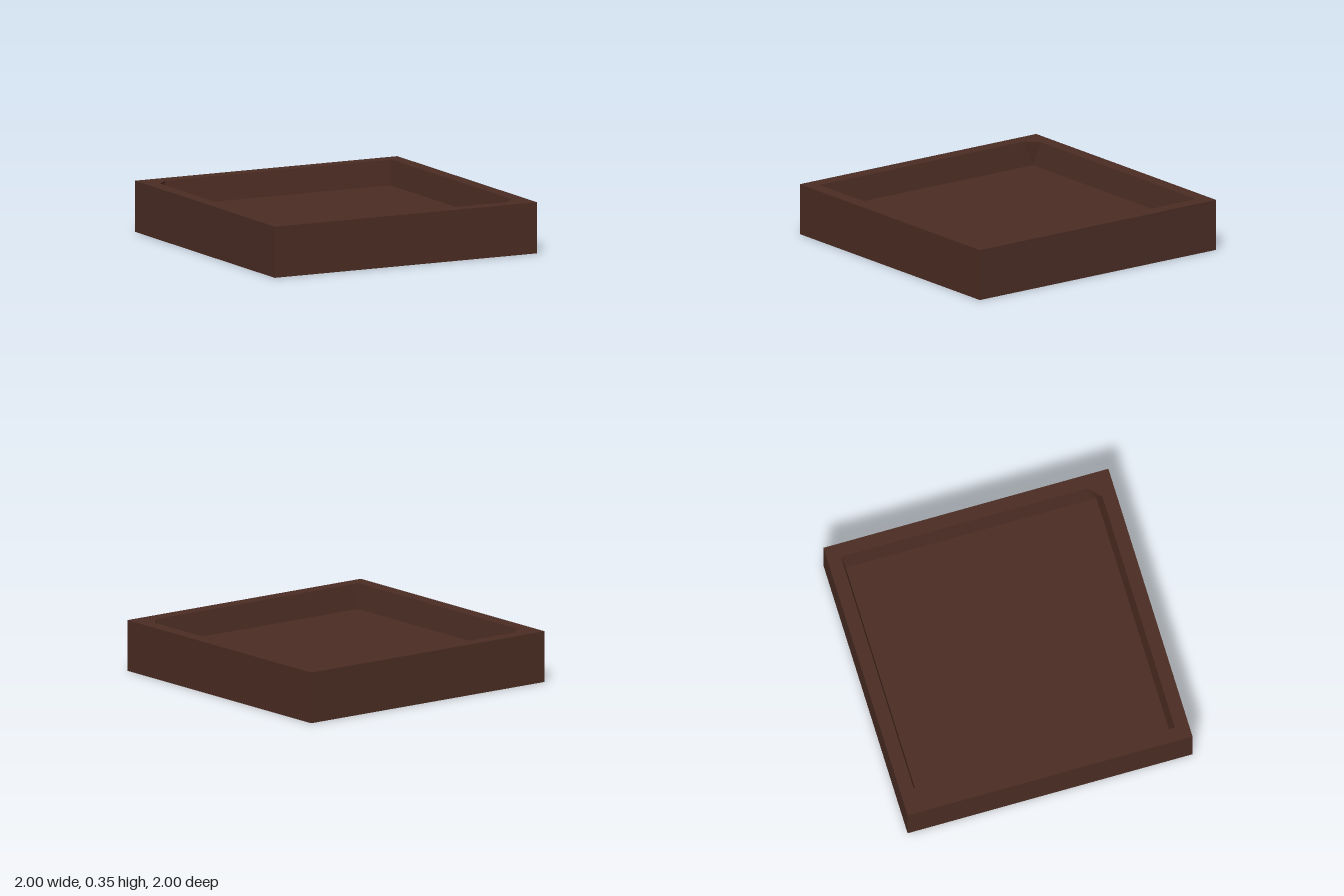
import * as THREE from 'three';

const HEIGHT = 0.35, FLOOR_Y = 0.18;
const FLOOR = 0.88, OPEN = 0.905, CUT = 0.82;

// Corner signs, counter-clockwise seen from above, starting front left of the frame
const SIGNS = [[-1, 1], [1, 1], [1, -1], [-1, -1]];
const ring = (r, y) => SIGNS.map(([x, z]) => [x * r, y, z * r]);

// Flat-faced geometry from convex polygons
function fromPolygons(polygons) {
  const pos = [];
  for (const p of polygons) {
    for (let i = 1; i < p.length - 1; i++) pos.push(...p[0], ...p[i], ...p[i + 1]);
  }
  const g = new THREE.BufferGeometry();
  g.setAttribute('position', new THREE.Float32BufferAttribute(pos, 3));
  g.computeVertexNormals();
  return g;
}

export function createModel() {
  const model = new THREE.Group();
  model.name = 'tray';
  const brown = new THREE.MeshStandardMaterial({ color: 0x4a2c23 });
  brown.name = 'dark brown';
  const add = (geometry, name) => {
    const mesh = new THREE.Mesh(geometry, brown);
    mesh.name = name;
    model.add(mesh);
  };

  // Outer walls and underside
  const bottom = ring(1, 0), top = ring(1, HEIGHT);
  const shell = bottom.map((p, i) => {
    const j = (i + 1) % 4;
    return [p, bottom[j], top[j], top[i]];
  });
  shell.push([...bottom].reverse());
  add(fromPolygons(shell), 'outerShell');

  // Opening: two opposite corners are cut, the other two are square
  const rim = [
    [[-OPEN, HEIGHT, OPEN]],
    [[CUT, HEIGHT, OPEN], [OPEN, HEIGHT, CUT]],
    [[OPEN, HEIGHT, -OPEN]],
    [[-CUT, HEIGHT, -OPEN], [-OPEN, HEIGHT, -CUT]],
  ];

  // Flat top border around the opening
  const to2D = ([x, , z]) => new THREE.Vector2(x, -z);
  const border = new THREE.Shape(top.map(to2D));
  border.holes.push(new THREE.Path(rim.flat().map(to2D)));
  add(new THREE.ShapeGeometry(border).rotateX(-Math.PI / 2).translate(0, HEIGHT, 0), 'topRim');

  // Sloping recess walls, with triangular facets below the cut corners
  const floor = ring(FLOOR, FLOOR_Y);
  const walls = [];
  floor.forEach((p, i) => {
    const j = (i + 1) % 4;
    walls.push([floor[j], p, rim[i].at(-1), rim[j][0]]);
    if (rim[i].length === 2) walls.push([p, ...rim[i]]);
  });
  add(fromPolygons(walls), 'recessWalls');

  // Recess floor
  add(fromPolygons([floor]), 'recessFloor');

  return model;
}
